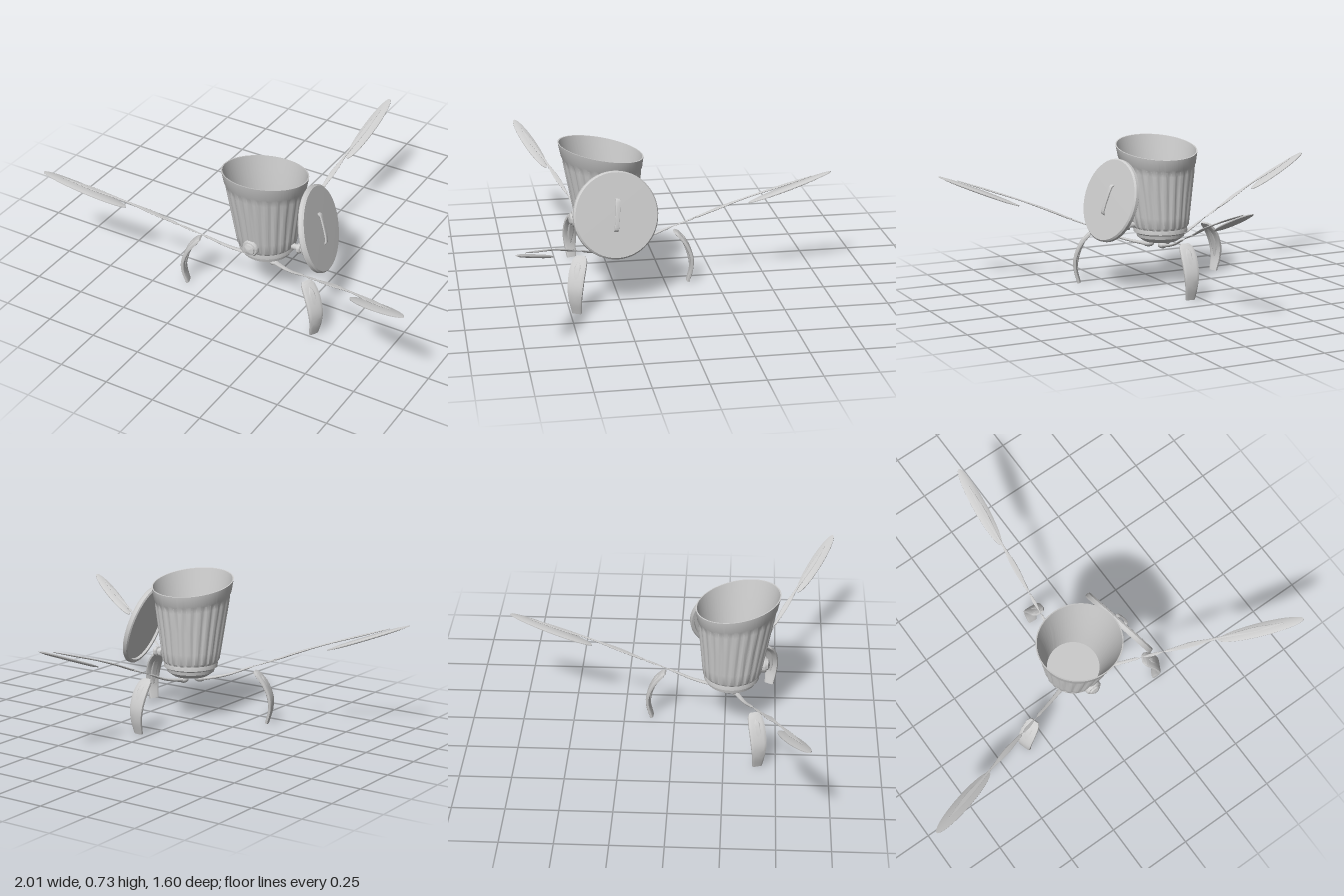
import * as THREE from 'three';
import { toCreasedNormals } from 'three/addons/utils/BufferGeometryUtils.js';

const grey = new THREE.MeshStandardMaterial({ color: 0xcccccc, side: THREE.DoubleSide });
const HUB = new THREE.Vector3(0.03, 0, 0.285);

function add(parent, name, geometry) {
  const mesh = new THREE.Mesh(geometry, grey);
  mesh.name = name;
  parent.add(mesh);
  return mesh;
}

const lathe = (profile, segments = 40) =>
  toCreasedNormals(new THREE.LatheGeometry(profile.map(([r, y]) => new THREE.Vector2(r, y)), segments), 0.6);

// Sweeps a rounded section along a curve in the x-y plane.
// Stations are [x, y, halfThickness, halfWidth]; power < 1 squares the section off.
function sweep(stations, steps, power = 1, sides = 16) {
  const path = new THREE.CatmullRomCurve3(stations.map(s => new THREE.Vector3(s[0], s[1], 0)));
  const size = new THREE.CatmullRomCurve3(stations.map(s => new THREE.Vector3(s[2], s[3], 0)));
  const soft = v => Math.sign(v) * Math.abs(v) ** power;
  const position = [], index = [];
  for (let i = -1; i <= steps + 1; i++) {
    const u = Math.min(Math.max(i / steps, 0), 1);
    const scale = i < 0 || i > steps ? 0 : 1; // collapsed rings close the ends
    const c = path.getPoint(u), t = path.getTangent(u), s = size.getPoint(u);
    for (let j = 0; j < sides; j++) {
      const a = (j / sides) * Math.PI * 2;
      const n = soft(Math.cos(a)) * s.x * scale, w = soft(Math.sin(a)) * s.y * scale;
      position.push(c.x - t.y * n, c.y + t.x * n, w);
    }
  }
  for (let i = 0; i < steps + 2; i++) {
    for (let j = 0; j < sides; j++) {
      const a = i * sides + j, b = i * sides + (j + 1) % sides;
      index.push(a, b, b + sides, a, b + sides, a + sides);
    }
  }
  const g = new THREE.BufferGeometry();
  g.setAttribute('position', new THREE.Float32BufferAttribute(position, 3));
  g.setIndex(index);
  return toCreasedNormals(g, 0.7);
}

// Fluted bucket with a slanted, slightly forward-leaning mouth
function makeBucket() {
  const profile = [
    [0, 0.222], [0.085, 0.222], [0.1, 0.232], [0.118, 0.245], [0.122, 0.262], [0.135, 0.27], [0.135, 0.287],
    [0.134, 0.292], [0.141, 0.305], [0.149, 0.36], [0.166, 0.48], [0.182, 0.59], [0.188, 0.62],
    [0.194, 0.63], [0.204, 0.688], [0.198, 0.688],
    [0.182, 0.61], [0.156, 0.48], [0.138, 0.36], [0.128, 0.275], [0, 0.275],
  ];
  const g = new THREE.LatheGeometry(profile.map(p => new THREE.Vector2(...p)), 240);
  const p = g.attributes.position;
  for (let i = 0; i < p.count; i++) {
    let x = p.getX(i), y = p.getY(i), z = p.getZ(i);
    const row = i % profile.length;
    if (row >= 8 && row <= 11) { // broad flutes with narrow grooves between the two bands
      const wave = Math.min(Math.cos(Math.atan2(x, z) * 24) * 1.2 + 0.5, 1);
      const f = 1 + 0.022 * wave;
      x *= f;
      z *= f;
    }
    const k = Math.max((y - 0.25) / 0.44, 0);
    p.setXYZ(i, x + 0.022 + 0.008 * k, y + 0.195 * k * z, z + 0.278 + 0.027 * k);
  }
  return toCreasedNormals(g, 0.6);
}

// Leaf-ended arm and curved foot pointing along local +x
function makeLimb(name, tipX, tipZ) {
  const limb = new THREE.Group();
  limb.name = name;
  limb.position.copy(HUB);
  limb.rotation.y = -Math.atan2(tipZ - HUB.z, tipX - HUB.x);

  add(limb, 'arm', sweep([
    [0.04, 0.2, 0.012, 0.014], [0.1, 0.21, 0.008, 0.012], [0.2, 0.235, 0.006, 0.009], [0.3, 0.275, 0.005, 0.007],
    [0.45, 0.332, 0.005, 0.007], [0.56, 0.376, 0.005, 0.014], [0.69, 0.423, 0.004, 0.005],
    [0.85, 0.474, 0.004, 0.012], [1.0, 0.521, 0.002, 0.002],
  ], 48));
  const knob = add(limb, 'armKnob', new THREE.SphereGeometry(0.022, 20, 14));
  knob.position.set(0.05, 0.205, 0);
  knob.scale.set(1.3, 0.8, 1);

  const leaf = add(limb, 'leaf', lathe([[0, -0.007], [0.8, -0.006], [1, -0.002], [1, 0.002], [0.8, 0.006], [0, 0.007]], 48));
  leaf.scale.set(0.213, 1, 0.034);
  leaf.position.set(0.894, 0.467, 0);
  leaf.rotation.z = 0.355;

  add(limb, 'foot', sweep([
    [0.332, 0.262, 0.005, 0.022], [0.35, 0.247, 0.009, 0.036], [0.388, 0.2, 0.01, 0.041],
    [0.416, 0.13, 0.01, 0.039], [0.417, 0.07, 0.009, 0.032], [0.4, 0.002, 0.008, 0.024],
  ], 28, 0.5));
  add(limb, 'footInlay', sweep([
    [0.359, 0.238, 0.01, 0.006], [0.376, 0.219, 0.012, 0.017], [0.396, 0.18, 0.013, 0.019],
    [0.414, 0.12, 0.013, 0.016], [0.417, 0.075, 0.01, 0.005],
  ], 20, 0.7));
  return limb;
}

// Round lid leaning on the bucket, axis along local +y
function makeLid() {
  const lid = new THREE.Group();
  lid.name = 'lid';
  add(lid, 'lidDisc', lathe([
    [0, -0.006], [0.185, -0.006], [0.188, -0.018], [0.2, -0.018], [0.207, -0.012],
    [0.207, 0.004], [0.2, 0.012], [0, 0.014],
  ], 64));
  add(lid, 'lidHandle', sweep([
    [-0.075, 0.01, 0.005, 0.011], [-0.07, 0.02, 0.005, 0.011], [-0.055, 0.024, 0.005, 0.011],
    [0.055, 0.024, 0.005, 0.011], [0.07, 0.02, 0.005, 0.011], [0.075, 0.01, 0.005, 0.011],
  ], 30, 0.5));
  // local y is the lid's outward normal, local x runs up its face
  const out = new THREE.Vector3(1, 0.3, -0.19).normalize();
  const side = new THREE.Vector3(0, 1, -0.15).cross(out).normalize();
  const up = new THREE.Vector3().crossVectors(out, side);
  lid.setRotationFromMatrix(new THREE.Matrix4().makeBasis(up, out, side));
  lid.position.set(0.3, 0.447, 0.27);
  return lid;
}

export function createModel() {
  const model = new THREE.Group();
  model.name = 'bucketOnLegs';
  add(model, 'bucket', makeBucket());

  model.add(makeLimb('leftLimb', 1, 0.79));
  model.add(makeLimb('rightLimb', -1, 0.63));
  model.add(makeLimb('rearLimb', 0.108, -0.8));
  model.add(makeLid());

  // Round button on the front
  const button = add(model, 'frontButton', lathe([[0, -0.02], [0.04, -0.02], [0.041, 0.004], [0.036, 0.012], [0.029, 0.012], [0.027, 0.02], [0.015, 0.027], [0, 0.029]]));
  button.rotation.x = Math.PI / 2;
  button.position.set(0.025, 0.34, 0.436);

  // Small spool-shaped tap on the side
  const tap = add(model, 'sideTap', lathe([[0, -0.03], [0.014, -0.03], [0.014, 0], [0.025, 0.004], [0.025, 0.018], [0.017, 0.022], [0.017, 0.03], [0.025, 0.034], [0.025, 0.048], [0.02, 0.052], [0, 0.052]], 28));
  tap.rotation.z = -Math.PI / 2;
  tap.position.set(0.193, 0.311, 0.285);

  return model;
}
